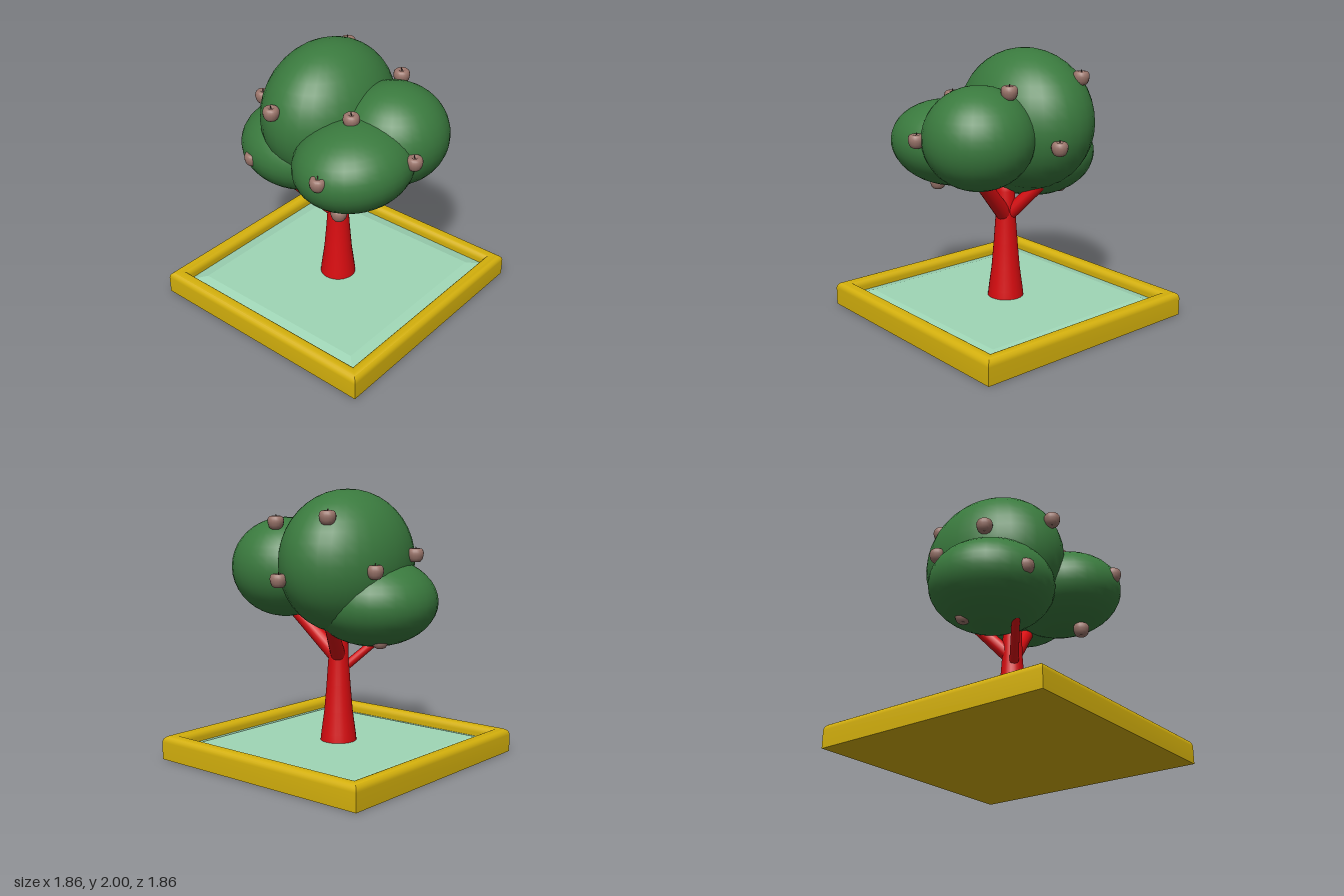
import * as THREE from 'three';
import { toCreasedNormals } from 'three/addons/utils/BufferGeometryUtils.js';

const V = (x, y, z) => new THREE.Vector3(x, y, z);
const P = (list) => list.map(([x, y]) => new THREE.Vector2(x, y));
const paint = (color) => new THREE.MeshStandardMaterial({ color });

export function createModel() {
  const model = new THREE.Group();
  const yellow = paint(0xd4b00c), soilGreen = paint(0x9fd6b6), red = paint(0xd80c10);
  const leafGreen = paint(0x3a7a3e), brown = paint(0x9c766c), stemBrown = paint(0x5a4038);

  const add = (name, geometry, material, parent = model) => {
    const mesh = new THREE.Mesh(geometry, material);
    mesh.name = name;
    parent.add(mesh);
    return mesh;
  };

  // Planter: a rounded rim profile swept round four sides, with a closed bottom
  const rim = [[0, 0], [0.93, 0]];
  for (let i = 0; i <= 6; i++) {
    const a = (i / 6) * Math.PI / 2;
    rim.push([0.88 + 0.05 * Math.cos(a), 0.13 + 0.05 * Math.sin(a)]);
  }
  for (let i = 0; i <= 6; i++) {
    const a = Math.PI / 2 * (1 + i / 6);
    rim.push([0.87 + 0.05 * Math.cos(a), 0.13 + 0.05 * Math.sin(a)]);
  }
  rim.push([0.82, 0.05]);
  const square = (points) => new THREE.LatheGeometry(
    P(points.map(([r, y]) => [r * Math.SQRT2, y])), 4, Math.PI / 4);
  add('planter', toCreasedNormals(square(rim), 0.6), yellow);

  // Soil: a low slab with sloping borders
  add('soil', toCreasedNormals(square([[0.82, 0.1], [0.72, 0.125], [0, 0.125]]), 0.05), soilGreen);

  // Trunk
  add('trunk', new THREE.LatheGeometry(P([
    [0.138, 0.1], [0.13, 0.18], [0.107, 0.35], [0.09, 0.55], [0.076, 0.75],
    [0.07, 0.95], [0.055, 1.0], [0, 1.02]]), 24), red);

  // Branches reaching up into the foliage
  const branch = (name, from, to, r0, r1) => {
    const dir = to.clone().sub(from);
    const mesh = add(name, new THREE.CylinderGeometry(r1, r0, dir.length(), 16), red);
    mesh.position.copy(from).addScaledVector(dir, 0.5);
    mesh.quaternion.setFromUnitVectors(V(0, 1, 0), dir.normalize());
  };
  branch('leftBranch', V(0.03, 0.78, -0.01), V(0.37, 1.14, -0.12), 0.06, 0.05);
  branch('rightBranch', V(-0.045, 0.695, 0.05), V(-0.32, 1.0, 0.28), 0.034, 0.028);
  branch('backBranch', V(-0.02, 0.78, -0.03), V(-0.16, 1.08, -0.29), 0.055, 0.045);

  // Foliage: four overlapping ellipsoids [name, centre, radii, tilt]
  const crowns = [
    ['topFoliage', [-0.14, 1.48, -0.065], [0.44, 0.52, 0.565], 0],
    ['rightFoliage', [-0.3, 1.195, 0.04], [0.47, 0.325, 0.46], 0],
    ['frontFoliage', [0.335, 1.325, 0.23], [0.42, 0.313, 0.457], 0.1],
    ['leftFoliage', [0.38, 1.42, -0.16], [0.405, 0.37, 0.4], 0],
  ];
  for (const [name, centre, radii, tilt] of crowns) {
    const mesh = add(name, new THREE.SphereGeometry(1, 32, 20), leafGreen);
    mesh.position.set(...centre);
    mesh.scale.set(...radii);
    mesh.rotation.z = tilt;
  }

  // Fruit: dimpled at top and bottom, with a short stem
  const fruitCurve = new THREE.SplineCurve(P([
    [0, -0.035], [0.025, -0.047], [0.048, -0.03], [0.06, 0.012],
    [0.05, 0.044], [0.028, 0.05], [0.012, 0.038], [0, 0.026]]));
  const fruitProfile = fruitCurve.getPoints(18);
  fruitProfile[0].x = fruitProfile[18].x = 0;
  const fruitGeometry = new THREE.LatheGeometry(fruitProfile, 16);
  const stemGeometry = new THREE.CylinderGeometry(0.004, 0.003, 0.035, 6);
  const spots = [
    [-0.18, 1.645, 0.5], [0.31, 1.65, 0.23], [0.28, 1.755, -0.37], [-0.3, 1.81, -0.47],
    [0.74, 1.41, 0.08], [0.38, 1.375, 0.66], [0.03, 1.37, -0.61], [0.335, 0.985, 0.39],
    [-0.435, 1.17, 0.45], [-0.565, 1.53, 0.18], [-0.555, 1.44, -0.27], [-0.46, 0.93, -0.09],
  ];
  for (const spot of spots) {
    const fruit = new THREE.Group();
    fruit.name = 'fruit';
    fruit.position.set(...spot);
    add('fruitBody', fruitGeometry, brown, fruit);
    const stem = add('fruitStem', stemGeometry, stemBrown, fruit);
    stem.position.y = 0.044;
    stem.rotation.z = 0.2;
    model.add(fruit);
  }
  return model;
}
